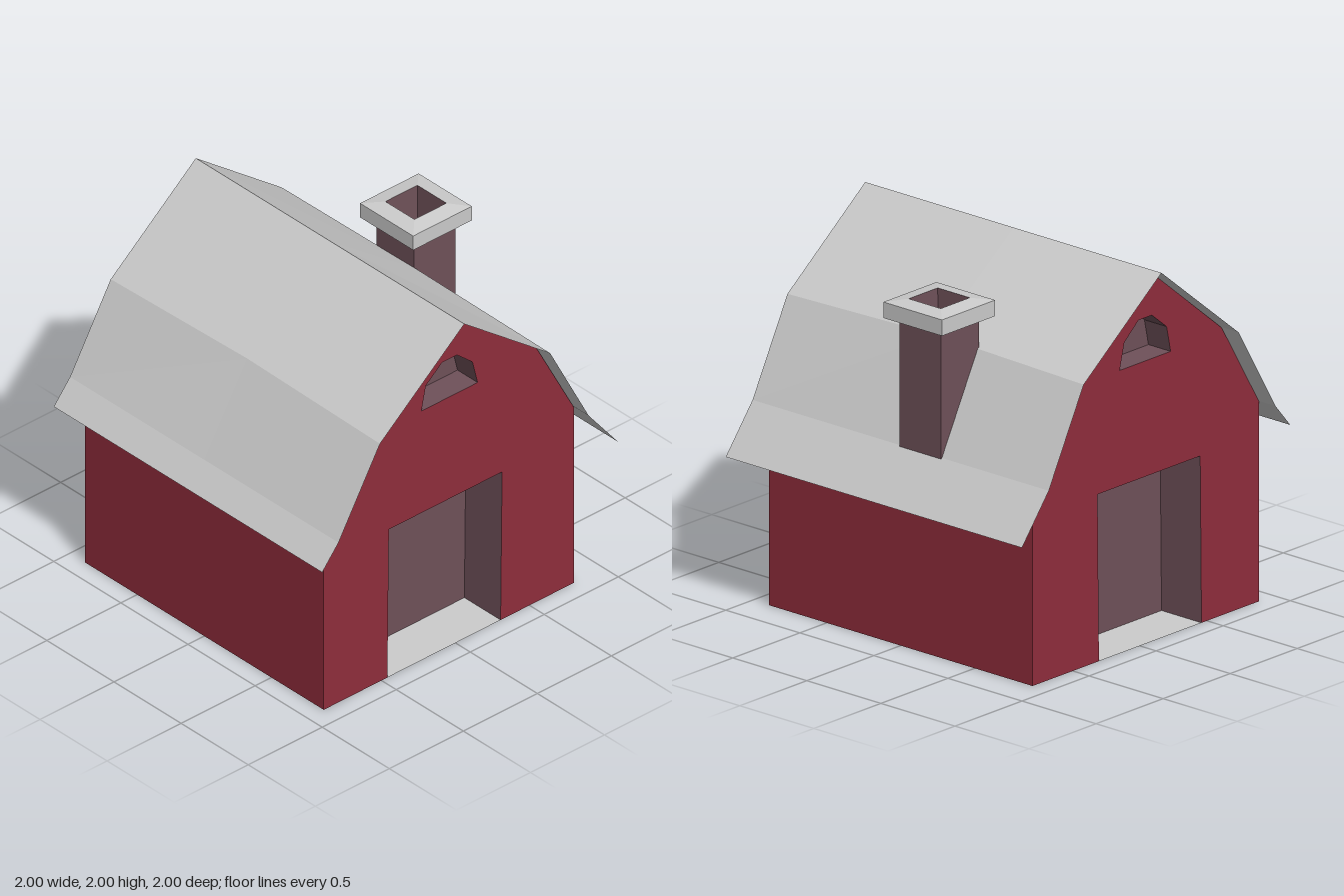
import * as THREE from 'three';

const material = (color) =>
  new THREE.MeshStandardMaterial({ color, flatShading: true, side: THREE.DoubleSide });

const grey = material(0xcccccc);
const red = material(0x902d3c);
const maroon = material(0x6f5159);

const WALL_Z = 0.89;

function add(parent, name, geometry, mat) {
  const mesh = new THREE.Mesh(geometry, mat);
  mesh.name = name;
  parent.add(mesh);
  return mesh;
}

// Joins cross-sections { z, points: [[x, y], ...] } into one open sheet
function loft(sections) {
  const positions = [];
  const index = [];
  const n = sections[0].points.length;
  sections.forEach(({ z, points }, s) => {
    points.forEach(([x, y], i) => {
      positions.push(x, y, z);
      if (s > 0 && i > 0) {
        const a = (s - 1) * n + i - 1;
        const b = a + n;
        index.push(a, b, a + 1, b, b + 1, a + 1);
      }
    });
  });
  let geometry = new THREE.BufferGeometry();
  geometry.setAttribute('position', new THREE.Float32BufferAttribute(positions, 3));
  geometry.setIndex(index);
  geometry = geometry.toNonIndexed();
  geometry.computeVertexNormals();
  return geometry;
}

const sweep = (points, z0, z1) => loft([{ z: z0, points }, { z: z1, points }]);
const toShape = (points) => new THREE.Shape(points.map(([x, y]) => new THREE.Vector2(x, y)));
const panel = (points, z) => new THREE.ShapeGeometry(toShape(points)).translate(0, 0, z);

const door = [[-0.46, 0], [-0.45, 0.89], [0.315, 0.89], [0.305, 0]];
const loftWindow = [
  [-0.23, 1.505], [-0.2, 1.645], [-0.09, 1.735],
  [0.01, 1.735], [0.115, 1.645], [0.15, 1.505],
];
const gable = [[0.8, 0], [0.8, 1.06], [0.53, 1.565], [-0.04, 2], [-0.61, 1.53], [-0.89, 1.06], [-0.89, 0]];

// One end wall with a recessed door and a recessed loft window
function createEndWall(name) {
  const group = new THREE.Group();
  group.name = name;
  const wall = toShape([...gable, ...door]);
  wall.holes.push(new THREE.Path(loftWindow.map(([x, y]) => new THREE.Vector2(x, y))));
  add(group, 'gableWall', new THREE.ShapeGeometry(wall).translate(0, 0, WALL_Z), red);

  const doorBack = WALL_Z - 0.27;
  add(group, 'doorFrame', sweep(door, doorBack, WALL_Z), maroon);
  add(group, 'doorPanel', panel(door, doorBack), maroon);
  add(group, 'doorFloor', sweep([door[0], door[3]], doorBack, WALL_Z), grey);

  const windowBack = WALL_Z - 0.15;
  add(group, 'windowFrame', sweep([...loftWindow, loftWindow[0]], windowBack, WALL_Z), maroon);
  add(group, 'windowPanel', panel(loftWindow, windowBack), maroon);
  return group;
}

// Square chimney with a mitred cap and an open flue
function createChimney() {
  const chimney = new THREE.Group();
  chimney.name = 'chimney';
  // Profile pairs are [half width, y]
  const square = (profile) => new THREE.LatheGeometry(
    profile.map(([half, y]) => new THREE.Vector2(half * Math.SQRT2, y)), 4, Math.PI / 4);
  add(chimney, 'chimneyShaft', square([[0.14, 1.06], [0.14, 1.725]]), maroon);
  add(chimney, 'chimneyCap',
    square([[0.14, 1.725], [0.198, 1.745], [0.198, 1.83], [0.108, 1.845]]), grey);
  add(chimney, 'chimneyFlue', square([[0.108, 1.845], [0.1, 1.55]]), maroon);
  add(chimney, 'flueFloor',
    new THREE.PlaneGeometry(0.2, 0.2).rotateX(-Math.PI / 2).translate(0, 1.55, 0), grey);
  chimney.position.set(0.665, 0, -0.138);
  return chimney;
}

export function createModel() {
  const barn = new THREE.Group();
  barn.name = 'barn';

  const backWall = createEndWall('backWall');
  backWall.scale.z = -1;
  barn.add(createEndWall('frontWall'), backWall);

  // Side walls
  for (const [name, x] of [['leftWall', 0.8], ['rightWall', -0.89]]) {
    add(barn, name, sweep([[x, 0], [x, 1.06]], -WALL_Z, WALL_Z), red);
  }

  // Thin gambrel roof with flared eaves and slightly uneven hips
  const roofProfile = (leftHip, rightHip) => [
    [1, 0.815], [0.8, 1.065], leftHip, [-0.04, 2], rightHip, [-0.89, 1.065], [-1, 0.935],
  ];
  add(barn, 'roof', loft([
    { z: -1, points: roofProfile([0.54, 1.56], [-0.615, 1.53]) },
    { z: 0, points: roofProfile([0.53, 1.58], [-0.6, 1.545]) },
    { z: 1, points: roofProfile([0.54, 1.56], [-0.61, 1.535]) },
  ]), grey);

  barn.add(createChimney());
  return barn;
}
